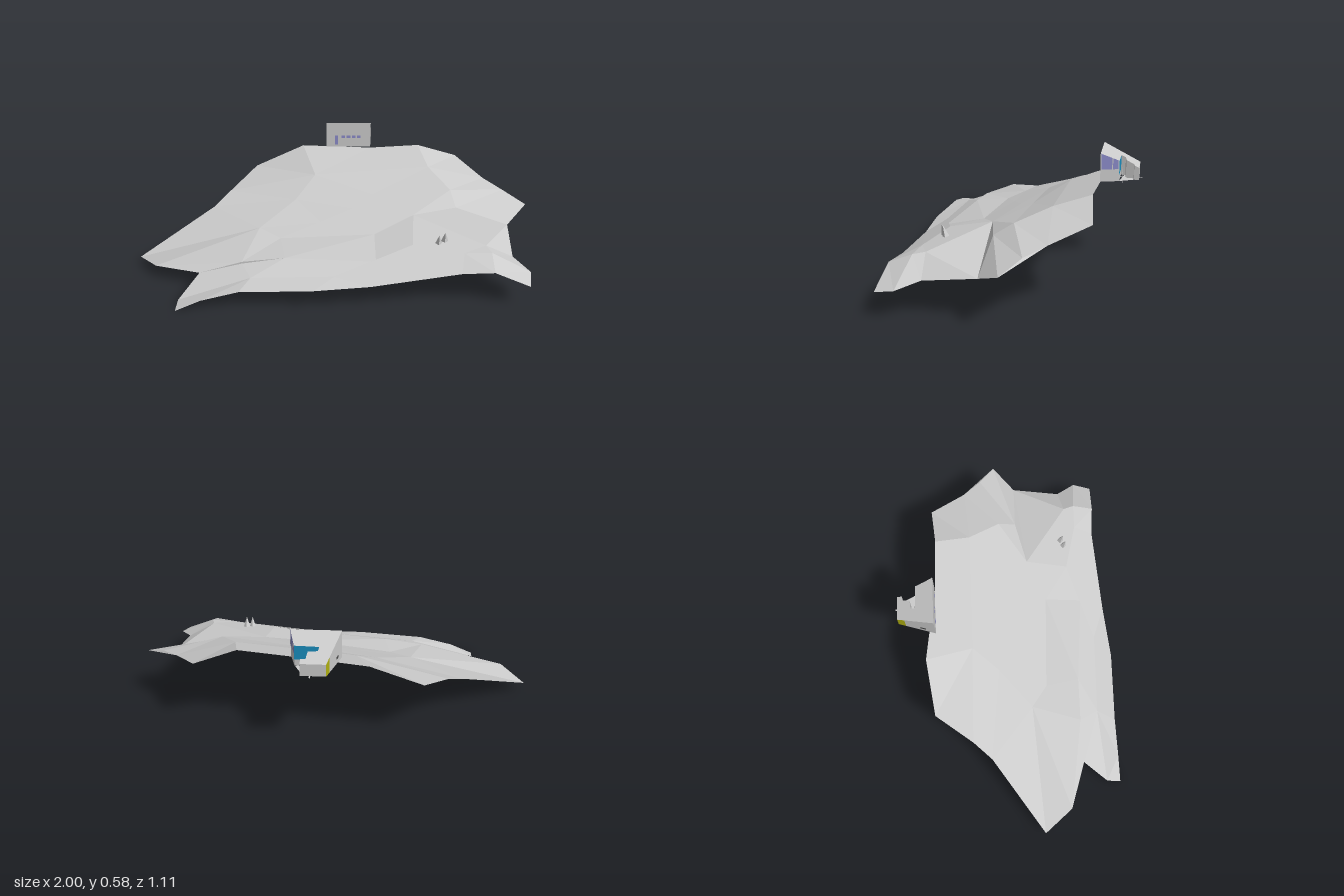
import * as THREE from 'three';

const mat = (color) => new THREE.MeshStandardMaterial({ color, flatShading: true, side: THREE.DoubleSide });
const grey = mat(0xcccccc), purple = mat(0x8a8ac8), teal = mat(0x1a8fc0), olive = mat(0xb0b010), dark = mat(0x444444);

function surface(name, points, material) {
  const g = new THREE.BufferGeometry();
  g.setAttribute('position', new THREE.Float32BufferAttribute(points.flat(), 3));
  g.computeVertexNormals();
  const m = new THREE.Mesh(g, material);
  m.name = name;
  return m;
}

// Hillside contour lines, back to front, each running from -x to +x: [x, y, z]
const contours = [
  [[-.43, .32, -.38], [-.17, .43, -.41], [.2, .44, -.355], [.46, .46, -.345], [.67, .39, -.365]],
  [[-.56, .255, -.2], [-.1, .36, -.18], [.5, .41, -.17], [.8, .335, -.19]],
  [[-.64, .205, -.11], [-.2, .28, -.05], [.2, .32, -.03], [.6, .355, -.01], [.89, .31, -.1], [1, .265, -.02]],
  [[-1, .045, .14], [-.38, .2, .11], [-.07, .235, .115], [.1, .28, .05], [.4, .285, .13], [.62, .3, .08], [1, .265, -.02]],
  [[-.89, .08, .28], [-.45, .15, .355], [-.27, .185, .19], [.2, .225, .22], [.4, .285, .13], [.89, .205, .09]],
  [[-.66, .09, .36], [-.45, .14, .355], [-.24, .175, .36], [.2, .185, .41], [.38, .24, .345], [.73, .245, .36], [.87, .17, .34]],
  [[-.75, .015, .48], [-.4, .12, .45], [0, .14, .47], [.62, .232, .41], [.75, .238, .415], [.94, .145, .44]],
  [[-.755, 0, .55], [-.63, .055, .545], [-.45, .1, .54], [-.1, .115, .555], [.17, .125, .535], [.6, .18, .51], [.75, .195, .525], [.92, .125, .535]],
];

// Joins neighbouring contours with triangles, always taking the shorter diagonal
function hillside() {
  const dist = (a, b) => Math.hypot(a[0] - b[0], a[1] - b[1], a[2] - b[2]);
  const pts = [];
  const tri = (a, b, c) => {
    if (dist(a, b) > 0 && dist(b, c) > 0 && dist(a, c) > 0) pts.push(...a, ...b, ...c);
  };
  for (let r = 0; r + 1 < contours.length; r++) {
    const a = contours[r], b = contours[r + 1];
    let i = 0, j = 0;
    while (i + 1 < a.length || j + 1 < b.length) {
      const stepA = i + 1 < a.length ? dist(a[i + 1], b[j]) : Infinity;
      const stepB = j + 1 < b.length ? dist(a[i], b[j + 1]) : Infinity;
      if (stepA < stepB) { tri(a[i], b[j], a[i + 1]); i++; }
      else { tri(a[i], b[j], b[j + 1]); j++; }
    }
  }
  return surface('hillside', pts, grey);
}

// House plan [x, z], with a stepped terrace notch cut into the +x side
const plan = [[-.04, -.356], [.02, -.54], [.14, -.54], [.138, -.515], [.115, -.513], [.108, -.475],
  [.062, -.47], [.058, -.448], [.174, -.445], [.2, -.356]];
const floorY = .445;
const roofY = (z) => .585 + (z + .356) * .43;
const lerp = (a, b, t) => a.map((v, k) => v + (b[k] - v) * t);

// Upright panel from a to b; the top follows the roof unless a height is given
function wall(name, a, b, material, y0 = floorY, y1 = null) {
  const p = [a[0], y0, a[1]], q = [b[0], y0, b[1]];
  const s = [b[0], y1 ?? roofY(b[1]), b[1]], t = [a[0], y1 ?? roofY(a[1]), a[1]];
  return surface(name, [p, q, s, p, s, t], material);
}

function slab(name, outline, heightAt) {
  const g = new THREE.ShapeGeometry(new THREE.Shape(outline.map(([x, z]) => new THREE.Vector2(x, -z))));
  g.rotateX(-Math.PI / 2);
  const p = g.attributes.position;
  for (let i = 0; i < p.count; i++) p.setY(i, heightAt(p.getZ(i)));
  g.computeVertexNormals();
  const m = new THREE.Mesh(g, grey);
  m.name = name;
  return m;
}

function bar(name, size, position) {
  const m = new THREE.Mesh(new THREE.BoxGeometry(...size), grey);
  m.name = name;
  m.position.set(...position);
  return m;
}

function house() {
  const g = new THREE.Group();
  g.name = 'house';
  const P = plan;
  g.add(slab('roof', P, roofY));
  g.add(slab('floor', [lerp(P[0], P[1], .65), P[1], P[2], P[3], P[8]], () => floorY));

  // Long slanted wall ending in a coloured corner panel
  const corner = lerp(P[0], P[1], .8);
  g.add(wall('sideWall', P[0], corner, grey), wall('cornerPanel', corner, P[1], olive));
  const shift = ([x, z], dx) => [x + dx, z];
  g.add(wall('sideWindow', shift(lerp(P[0], P[1], .25), -.002), shift(lerp(P[0], P[1], .4), -.002), dark, .47, .484));

  // Rear wing, then the glazed terrace wall above a parapet
  for (let i = 1; i < 7; i++) g.add(wall('rearWall', P[i], P[i + 1], grey));
  g.add(wall('terraceParapet', P[7], P[8], grey, floorY, .475));
  g.add(wall('terraceGlass', P[7], P[8], teal, .475));

  // Glazed side above a low wall
  g.add(wall('lowWall', P[8], P[9], grey, floorY, .505));
  g.add(wall('sideGlass', P[8], P[9], purple, .505));
  for (const t of [0, .33, .95]) {
    g.add(wall('mullion', shift(lerp(P[8], P[9], t), .002), shift(lerp(P[8], P[9], t + .05), .002), grey, .505));
  }

  // Front wall with a tall window and a row of small ones
  g.add(wall('frontWall', P[9], P[0], grey));
  const zf = P[0][1] + .002;
  g.add(wall('tallWindow', [.005, zf], [.022, zf], purple, .458, .512));
  for (let i = 0; i < 4; i++) {
    const x = .042 + i * .028;
    g.add(wall('smallWindow', [x, zf], [x + .02, zf], purple, .497, .513));
  }

  // Slim terrace post and the beam it carries
  g.add(bar('post', [.006, .08, .003], [.095, .455, -.457]));
  g.add(bar('beam', [.006, .002, .2], [.095, .444, -.455]));
  return g;
}

export function createModel() {
  const model = new THREE.Group();
  model.name = 'hillsideHouse';
  model.add(hillside(), house());

  // Two pointed rocks on the lower shelf, tips leaning forward
  for (const [x, z, top] of [[.505, .335, .295], [.535, .322, .303]]) {
    const g = new THREE.ConeGeometry(.018, .055, 4);
    const p = g.attributes.position;
    for (let i = 0; i < p.count; i++) if (p.getY(i) > 0) p.setZ(i, .014);
    g.computeVertexNormals();
    const rock = new THREE.Mesh(g, grey);
    rock.name = 'rock';
    rock.position.set(x, top - .0275, z);
    model.add(rock);
  }
  return model;
}
